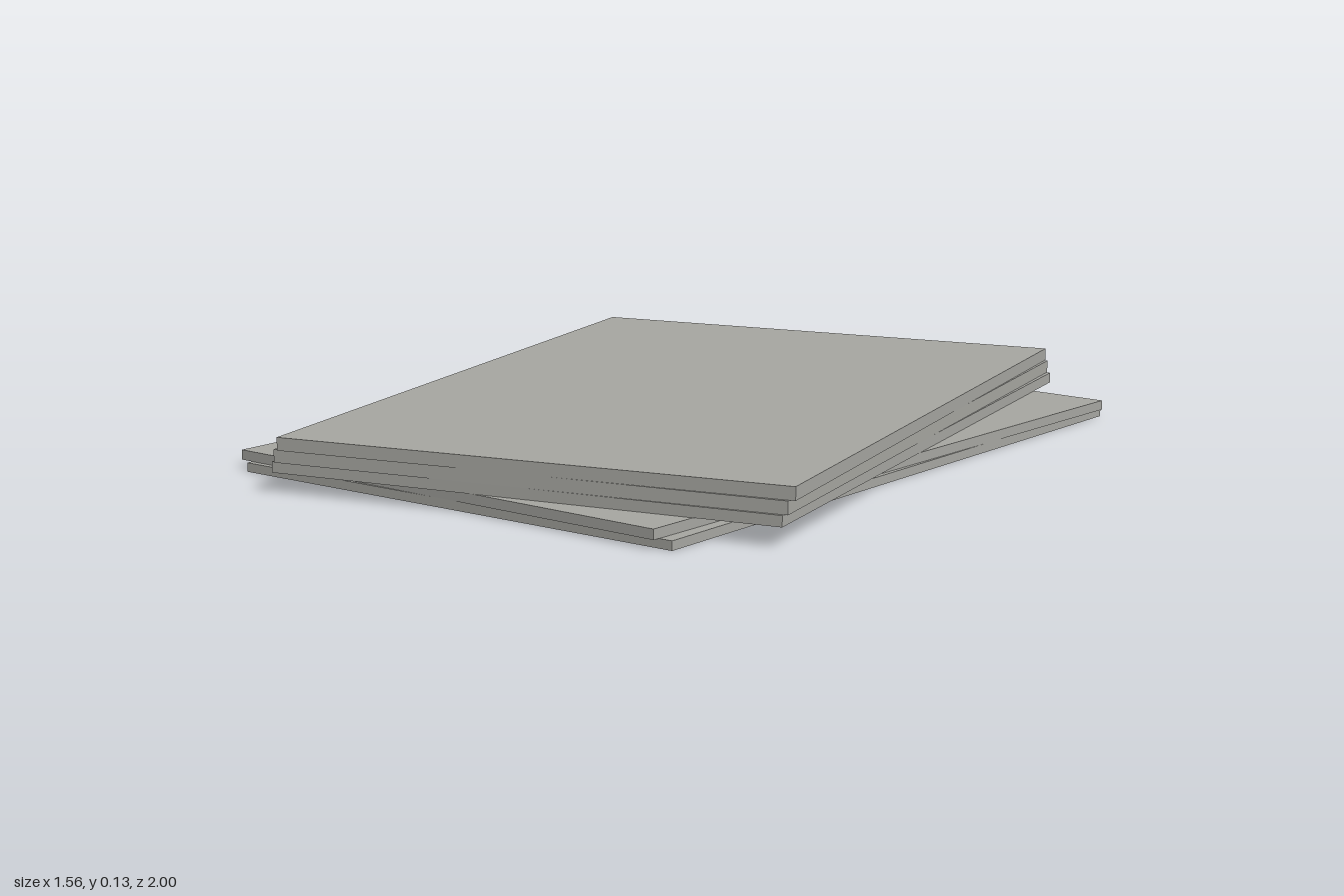
import * as THREE from 'three';

export function createModel() {
  const group = new THREE.Group();
  const paper = new THREE.MeshStandardMaterial({ color: 0xa5a5a0 });
  paper.name = 'grey paper';

  const width = 1.276, length = 1.816;

  // Loose stack from the bottom up: bottom height, top height, x offset, turn in degrees
  const sheets = [
    [0, 0.022, 0.006, -4.4],
    [0.022, 0.046, -0.004, -6],
    [0.046, 0.072, -0.003, 8.1],
    [0.072, 0.103, -0.003, 8.75],
    [0.103, 0.134, 0, 9.46],
  ];

  sheets.forEach(([bottom, top, x, turn], i) => {
    const sheet = new THREE.Mesh(new THREE.BoxGeometry(width, top - bottom, length), paper);
    sheet.name = `sheet${i + 1}`;
    sheet.position.set(x, (bottom + top) / 2, 0);
    sheet.rotation.y = THREE.MathUtils.degToRad(turn);
    group.add(sheet);
  });

  return group;
}
